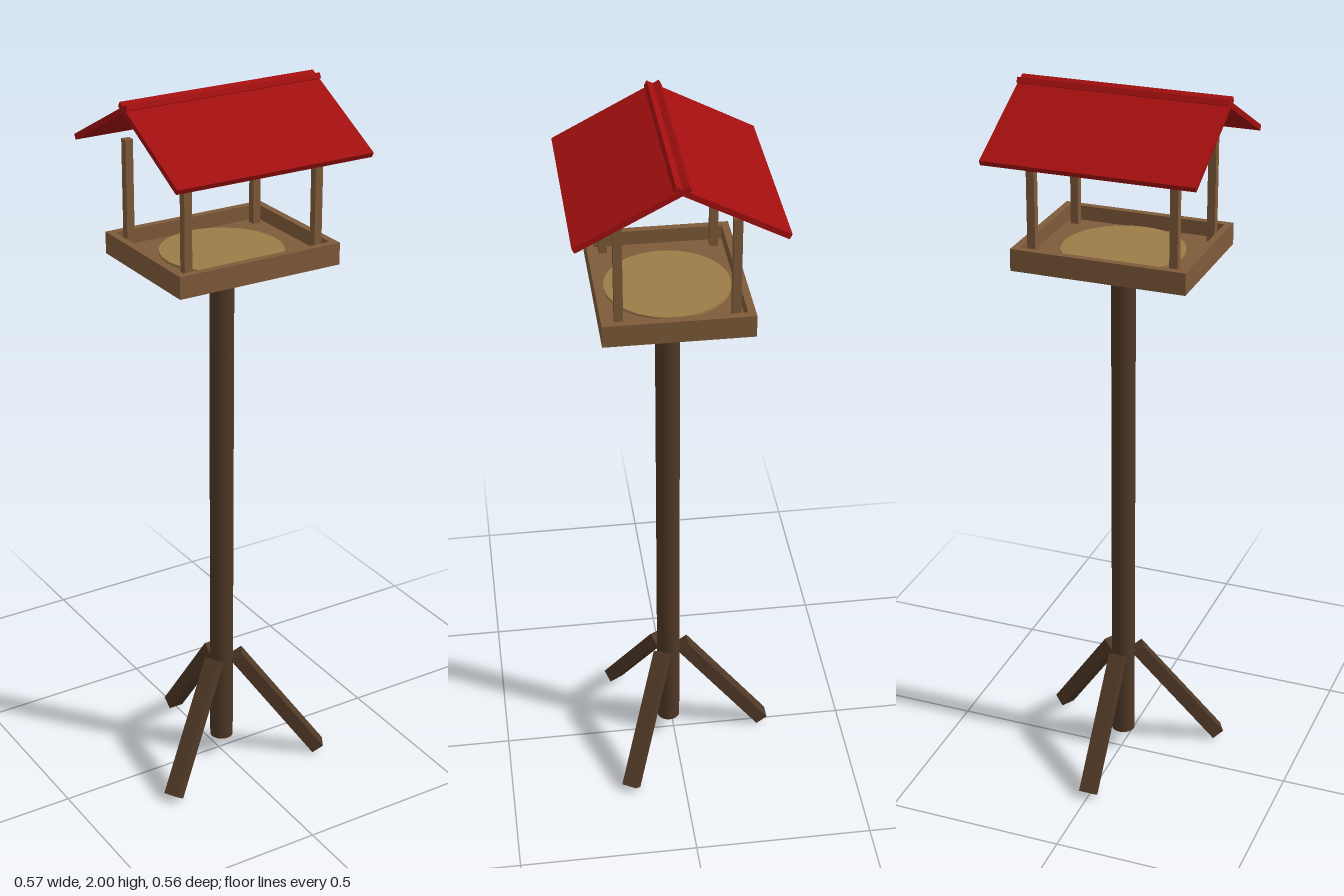
import * as THREE from 'three';

const mat = (name, color) => {
  const m = new THREE.MeshStandardMaterial({ color });
  m.name = name;
  return m;
};

export function createModel() {
  const darkWood = mat('dark wood', 0x4f3826);
  const lightWood = mat('light wood', 0x7f5a3a);
  const red = mat('roof red', 0xa20f0f);
  const seed = mat('seed tan', 0x9c7c48);

  const model = new THREE.Group();
  model.name = 'birdFeeder';
  // everything is built around the pole axis
  const feeder = new THREE.Group();
  feeder.name = 'feeder';
  feeder.position.z = 0.016;
  model.add(feeder);

  const add = (name, geo, material, x, y, z, parent = feeder) => {
    const mesh = new THREE.Mesh(geo, material);
    mesh.name = name;
    mesh.position.set(x, y, z);
    parent.add(mesh);
    return mesh;
  };
  const box = (w, h, d) => new THREE.BoxGeometry(w, h, d);

  // pole
  add('pole', new THREE.CylinderGeometry(0.033, 0.033, 1.48, 32), darkWood, 0, 0.8, 0);

  // three splayed legs, one straight to the back
  [Math.PI, Math.PI / 3, -Math.PI / 3].forEach((angle) => {
    const arm = new THREE.Group();
    arm.name = 'legArm';
    arm.rotation.y = angle;
    feeder.add(arm);
    add('leg', box(0.044, 0.4, 0.038), darkWood, 0, 0.172, 0.162, arm).rotation.x = -0.645;
  });

  // tray floor and rim
  const W = 0.478, D = 0.388, T = 0.02;
  add('trayFloor', box(W, 0.02, D), lightWood, 0, 1.55, 0);
  for (const s of [-1, 1]) {
    add('trayRimLong', box(W, 0.04, T), lightWood, 0, 1.58, s * (D - T) / 2);
    add('trayRimShort', box(T, 0.04, D - 2 * T), lightWood, s * (W - T) / 2, 1.58, 0);
  }

  // round bed of seed
  add('seedBed', new THREE.CylinderGeometry(0.165, 0.165, 0.008, 40), seed, 0, 1.563, 0);

  // corner posts
  for (const x of [-0.194, 0.194])
    for (const z of [-0.148, 0.148])
      add('post', box(0.022, 0.298, 0.022), lightWood, x, 1.708, z);

  // roof boards crossing slightly at the ridge
  for (const s of [-1, 1])
    add('roofBoard', box(0.57, 0.015, 0.317), red, 0, 1.92, s * 0.121).rotation.x = s * 0.482;

  return model;
}
